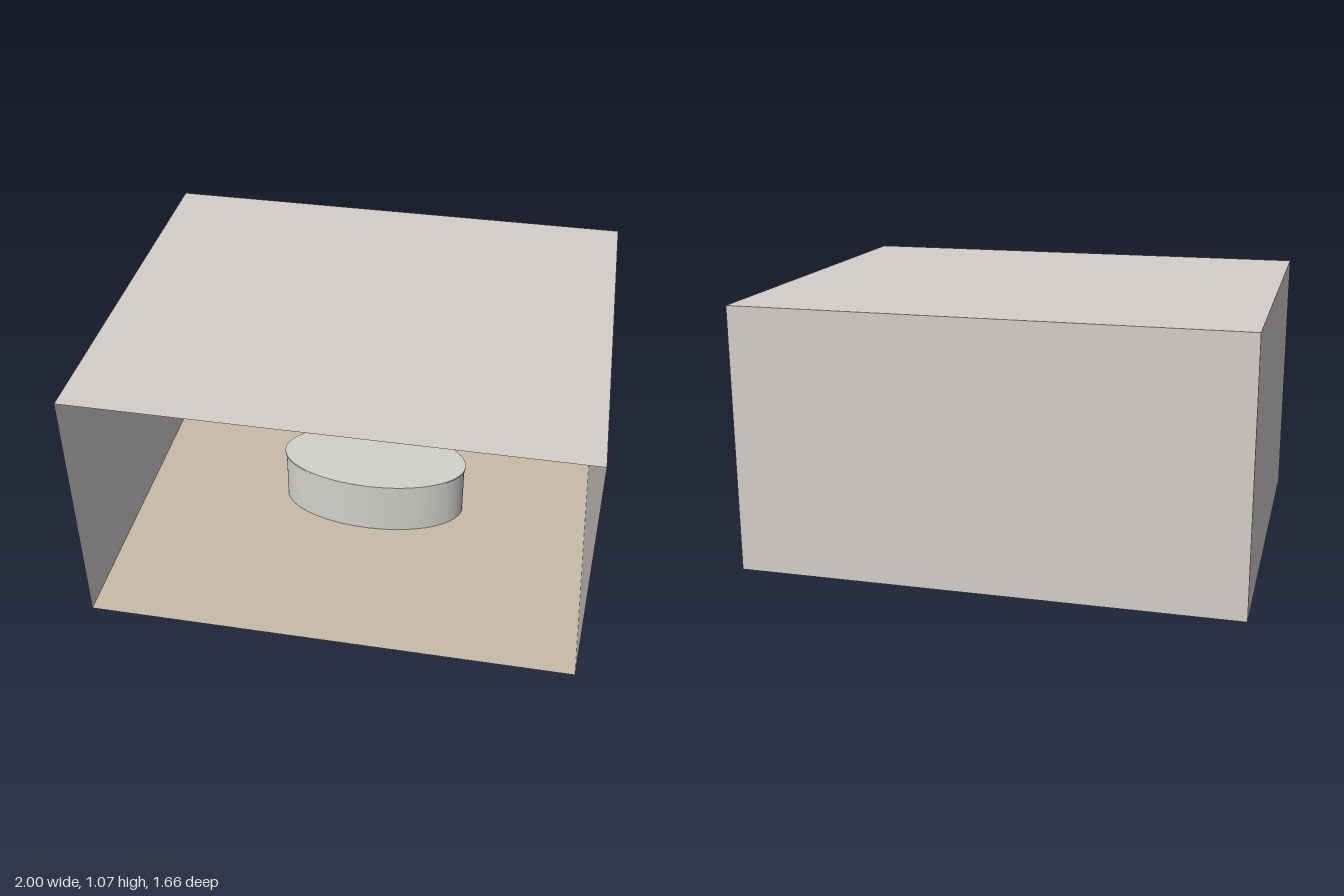
import * as THREE from 'three';

const W = 2, H = 1.07, D = 1.66;

export function createModel() {
  const model = new THREE.Group();
  const wallGrey = new THREE.MeshStandardMaterial({ color: 0xd4cfcb, side: THREE.DoubleSide });
  wallGrey.name = 'wallGrey';
  const floorTan = new THREE.MeshStandardMaterial({ color: 0xc8bba8, side: THREE.DoubleSide });
  floorTan.name = 'floorTan';
  const platformGrey = new THREE.MeshStandardMaterial({ color: 0xd3d1cd });
  platformGrey.name = 'platformGrey';

  // Thin room panels; the front stays open
  const panel = (name, w, h, material, position, rotation) => {
    const mesh = new THREE.Mesh(new THREE.PlaneGeometry(w, h), material);
    mesh.name = name;
    mesh.position.set(...position);
    mesh.rotation.set(...rotation);
    model.add(mesh);
  };
  const q = Math.PI / 2;
  panel('floor', W, D, floorTan, [0, 0, 0], [-q, 0, 0]);
  panel('ceiling', W, D, wallGrey, [0, H, 0], [-q, 0, 0]);
  panel('backWall', W, H, wallGrey, [0, H / 2, -D / 2], [0, Math.PI, 0]);
  panel('leftWall', D, H, wallGrey, [W / 2, H / 2, 0], [0, q, 0]);
  panel('rightWall', D, H, wallGrey, [-W / 2, H / 2, 0], [0, -q, 0]);

  // Oval platform with a thin, slightly overhanging top
  const platform = new THREE.Group();
  platform.name = 'ovalPlatform';
  platform.position.set(0.04, 0, -0.06);
  const oval = (name, rx, rz, y0, y1) => {
    const geometry = new THREE.CylinderGeometry(1, 1, y1 - y0, 64);
    geometry.scale(rx, 1, rz);
    geometry.translate(0, (y0 + y1) / 2, 0);
    const mesh = new THREE.Mesh(geometry, platformGrey);
    mesh.name = name;
    platform.add(mesh);
  };
  oval('platformBody', 0.404, 0.202, 0.002, 0.242);
  oval('platformTop', 0.409, 0.206, 0.242, 0.25);
  model.add(platform);

  return model;
}
